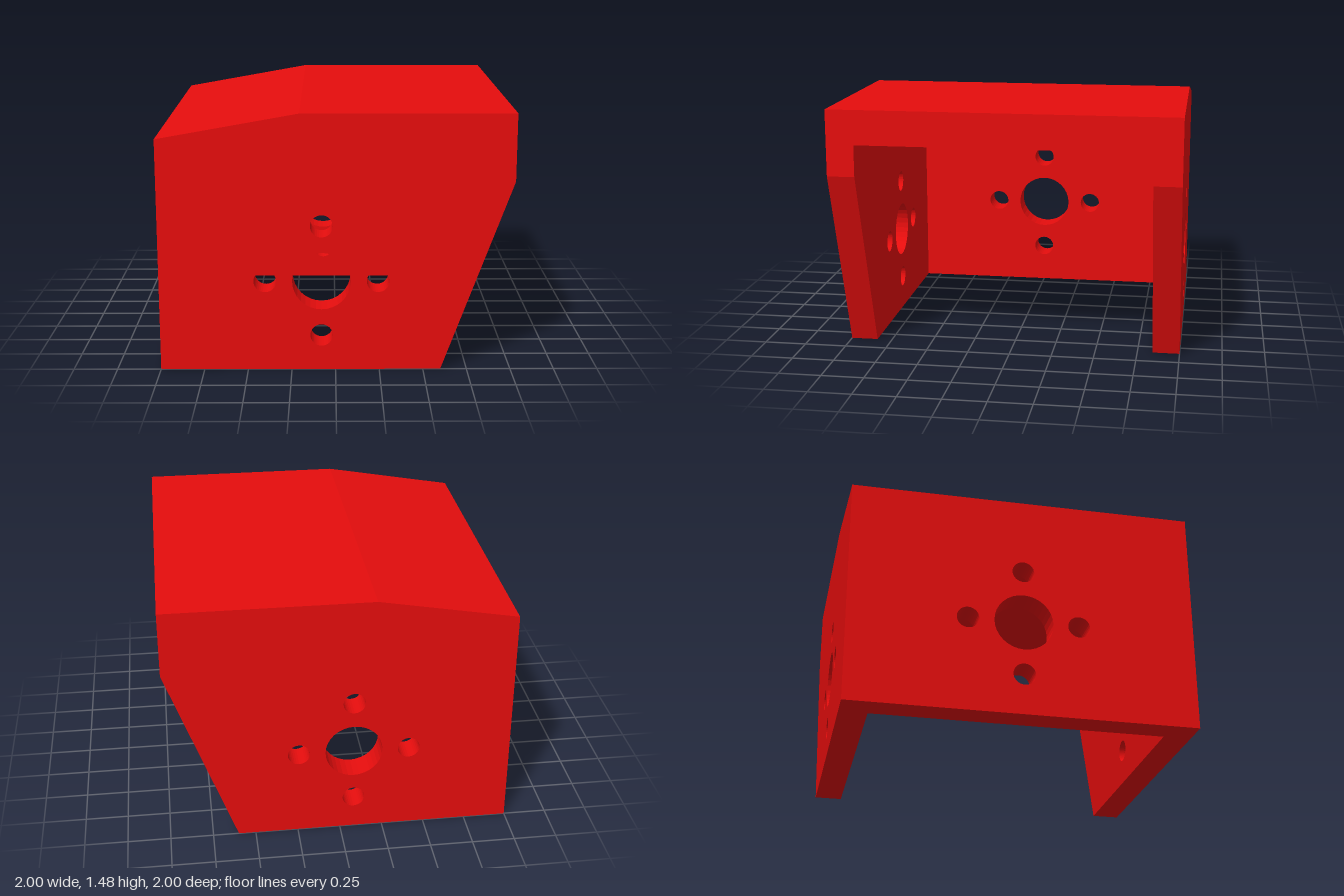
import * as THREE from 'three';

const WALL = 0.16; // thickness of the side and back walls

// Closed shape from [x, y] corners
function polygon(points) {
  return new THREE.Shape(points.map(([x, y]) => new THREE.Vector2(x, y)));
}

// One large bore ringed by four screw holes
function addMotorHoles(shape, cx, cy, bore) {
  const hole = (x, y, r) => shape.holes.push(new THREE.Path().absarc(x, y, r, 0, Math.PI * 2, true));
  hole(cx, cy, bore);
  for (const [dx, dy] of [[1, 0], [0, 1], [-1, 0], [0, -1]]) {
    hole(cx + dx * 0.32, cy + dy * 0.32, 0.064);
  }
}

export function createModel() {
  const model = new THREE.Group();
  model.name = 'mountingBracket';
  const material = new THREE.MeshStandardMaterial({ color: 0xe60d0d });

  const addPlate = (name, shape, depth) => {
    const geometry = new THREE.ExtrudeGeometry(shape, { depth, bevelEnabled: false, curveSegments: 16 });
    const mesh = new THREE.Mesh(geometry, material);
    mesh.name = name;
    model.add(mesh);
    return mesh;
  };

  // Side walls with a slanted open edge and a sloping top corner
  const side = polygon([[-1, 0], [0.6, 0], [1, 1.1], [1, 1.483], [-0.2, 1.483], [-1, 1.34]]);
  addMotorHoles(side, -0.08, 0.525, 0.166);
  addPlate('frontWall', side, WALL).position.z = 1 - WALL;
  addPlate('rearWall', side, WALL).position.z = -1;

  // End wall closing the -x side, between the side walls
  const half = 1 - WALL;
  const end = polygon([[-half, 0], [half, 0], [half, 1.18], [-half, 1.18]]);
  addMotorHoles(end, 0, 0.56, 0.17);
  const endWall = addPlate('endWall', end, WALL);
  endWall.rotation.y = -Math.PI / 2;
  endWall.position.x = -half;

  // Roof, bent down towards the end wall
  const roof = polygon([
    [-1, 1.18], [-half, 1.18], [-0.25, 1.283], [1, 1.283],
    [1, 1.483], [-0.2, 1.483], [-1, 1.34],
  ]);
  addPlate('roof', roof, 2 * half).position.z = -half;

  return model;
}
